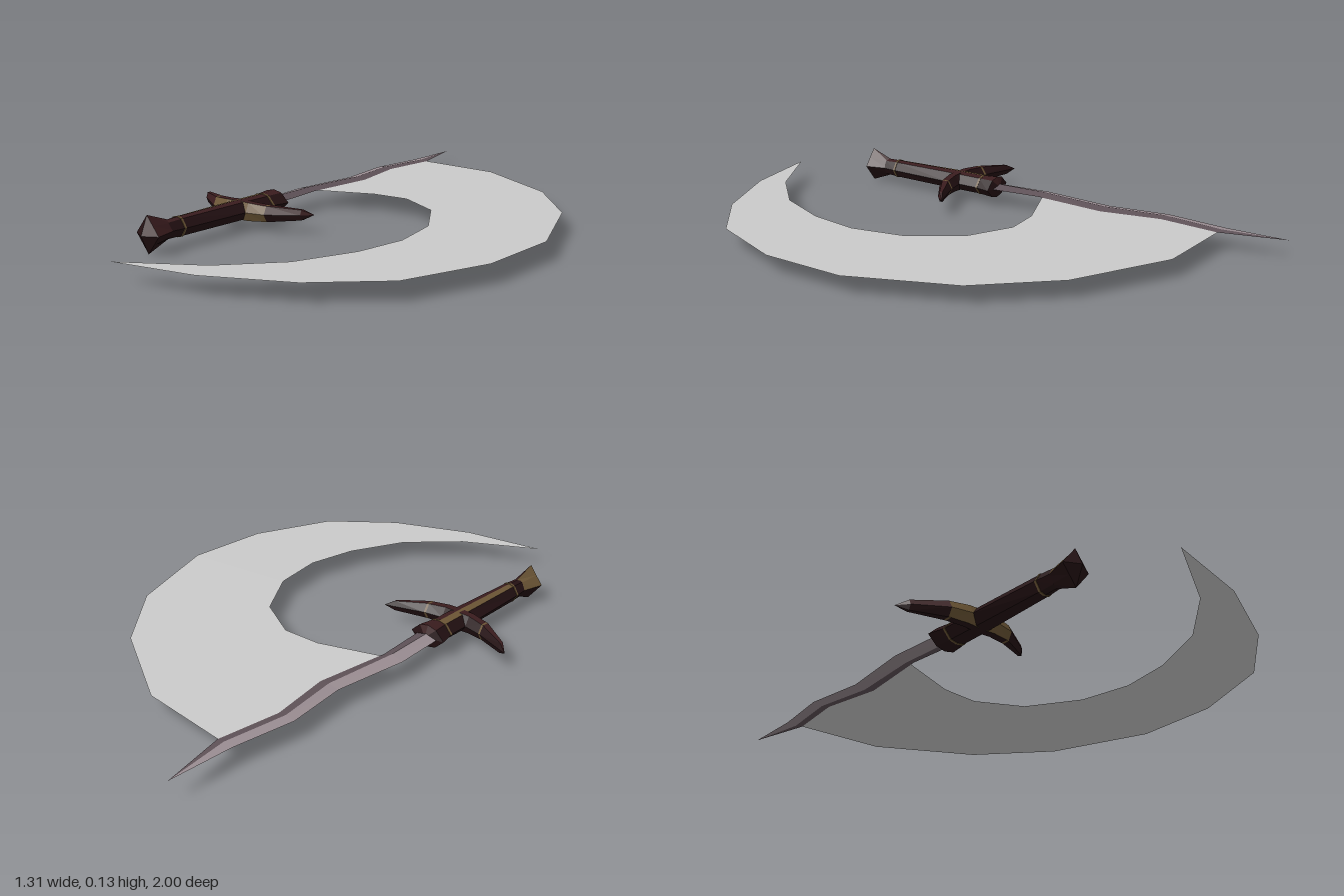
import * as THREE from 'three';

const paint = (name, color, side = THREE.FrontSide) => {
  const m = new THREE.MeshStandardMaterial({ color, side });
  m.name = name;
  return m;
};

// Joins rings of [x, y, z] points with flat faces; pick(i, j) gives the material index of each face
function loft(name, rings, materials, pick, flip = false) {
  const position = [];
  const geometry = new THREE.BufferGeometry();
  for (let i = 0; i < rings.length - 1; i++) {
    const n = rings[i].length;
    for (let j = 0; j < n; j++) {
      const k = (j + 1) % n;
      const a = rings[i][j], b = rings[i][k], c = rings[i + 1][k], d = rings[i + 1][j];
      const start = position.length / 3;
      const corners = flip ? [a, c, b, a, d, c] : [a, b, c, a, c, d];
      corners.forEach((p) => position.push(...p));
      geometry.addGroup(start, 6, pick(i, j));
    }
  }
  geometry.setAttribute('position', new THREE.Float32BufferAttribute(position, 3));
  geometry.computeVertexNormals();
  const mesh = new THREE.Mesh(geometry, materials);
  mesh.name = name;
  return mesh;
}

export function createModel() {
  const model = new THREE.Group();
  model.name = 'daggerWithSlash';
  const axisX = -0.4, midY = 0.066;

  const steelLight = paint('light steel', 0x9a8d92);
  const steelDark = paint('dark steel', 0x5e5157);
  const darkWood = paint('dark wood', 0x241113);
  const maroon = paint('maroon', 0x3a1c1e);
  const gold = paint('old gold', 0x6b5535);
  const slashGrey = paint('slash grey', 0xcacaca, THREE.DoubleSide);
  const hiltPaints = [darkWood, maroon, gold];

  const dagger = new THREE.Group();
  dagger.name = 'dagger';
  dagger.position.set(axisX, midY, 0);
  model.add(dagger);

  // Wavy blade: z, left edge, ridge, right edge, half thickness
  const bladeRings = [
    [-1.0, -0.022, -0.022, -0.022, 0],
    [-0.77, -0.027, 0.008, 0.035, 0.004],
    [-0.55, -0.055, -0.02, 0.01, 0.006],
    [-0.33, -0.026, 0.013, 0.05, 0.008],
    [-0.06, -0.055, -0.01, 0.022, 0.011],
    [0.16, -0.04, 0, 0.042, 0.013],
  ].map(([z, l, m, r, t]) => [[r, 0, z], [m, t, z], [l, 0, z], [m, -t, z]]);
  dagger.add(loft('blade', bladeRings, [steelLight, steelDark], (i, j) => (j === 0 || j === 3 ? 1 : 0)));

  // Eight-sided ring; k sets how full the corners are (0.5 makes a diamond)
  const ring = ([z, w, h, k]) => [
    [w, 0], [0.5 * w, k * h], [0, h], [-0.5 * w, k * h],
    [-w, 0], [-0.5 * w, -k * h], [0, -h], [0.5 * w, -k * h],
  ].map(([x, y]) => [x, y, z]);

  // Flared collar at the root of the blade
  const collar = [[0.12, 0, 0, 0.8], [0.135, 0.068, 0.04, 0.8], [0.2, 0.052, 0.035, 0.85]];
  dagger.add(loft('collar', collar.map(ring), hiltPaints, (i, j) => (j === 1 || j === 2 ? 1 : 0)));

  // Grip with a gold strip along the top
  const grip = [[0.195, 0.052, 0.035, 0.85], [0.33, 0.049, 0.036, 0.85], [0.6, 0.037, 0.034, 0.85], [0.655, 0.032, 0.033, 0.8]];
  dagger.add(loft('grip', grip.map(ring), hiltPaints, (i, j) => (j === 2 && i < 2 ? 2 : j === 1 ? 1 : 0)));

  // Thin gold rings around the grip
  for (const [z, w, h] of [[0.196, 0.055, 0.037], [0.6, 0.039, 0.036]]) {
    const band = [[z - 0.004, 0, 0, 0.85], [z - 0.004, w, h, 0.85], [z + 0.004, w, h, 0.85], [z + 0.004, 0, 0, 0.85]];
    dagger.add(loft('gripBand', band.map(ring), hiltPaints, () => 2));
  }

  // Diamond pommel
  const pommel = [[0.645, 0.031, 0.033, 0.7], [0.73, 0.052, 0.065, 0.5], [0.758, 0, 0, 0.5]];
  dagger.add(loft('pommel', pommel.map(ring), hiltPaints, (i, j) => (i === 0 && (j === 2 || j === 3) ? 2 : j < 2 ? 1 : 0)));

  // Curved guard arms: distance out, back z, front z, half height
  const armStations = [
    [0, 0.272, 0.335, 0.034],
    [0.05, 0.276, 0.335, 0.032],
    [0.112, 0.264, 0.322, 0.028],
    [0.12, 0.262, 0.32, 0.028],
    [0.225, 0.224, 0.252, 0.018],
    [0.257, 0.214, 0.214, 0],
  ];
  for (const side of [1, -1]) {
    const rings = armStations.map(([d, zb, zf, h]) => {
      const at = (t) => zb + (zf - zb) * t;
      return [[h, at(0.3)], [h, at(0.75)], [0, zf], [-h, at(0.75)], [-h, at(0.3)], [0, zb]]
        .map(([y, z]) => [side * d, y, z]);
    });
    const pick = (i, j) => (i === 2 || (i < 2 && (j === 1 || j === 2)) ? 2 : j === 0 || j === 1 ? 1 : 0);
    dagger.add(loft(side > 0 ? 'leftGuardArm' : 'rightGuardArm', rings, hiltPaints, pick, side < 0));
  }

  // Flat crescent slash, drawn as x and z
  const outline = [
    [-0.385, -0.77], [-0.04, -0.75], [0.3, -0.565], [0.515, -0.325], [0.655, 0.035],
    [0.645, 0.345], [0.53, 0.64], [0.32, 0.82], [0.04, 0.945], [-0.26, 1.0],
    [0, 0.85], [0.165, 0.68], [0.255, 0.475], [0.285, 0.29], [0.25, 0.1],
    [0.135, -0.08], [-0.03, -0.165], [-0.17, -0.155], [-0.4, -0.068],
    [-0.385, -0.33], [-0.415, -0.55],
  ];
  const shape = new THREE.Shape(outline.map(([x, z]) => new THREE.Vector2(x, -z)));
  const slash = new THREE.Mesh(new THREE.ShapeGeometry(shape).rotateX(-Math.PI / 2), slashGrey);
  slash.name = 'slashCrescent';
  slash.position.y = midY;
  model.add(slash);

  return model;
}
